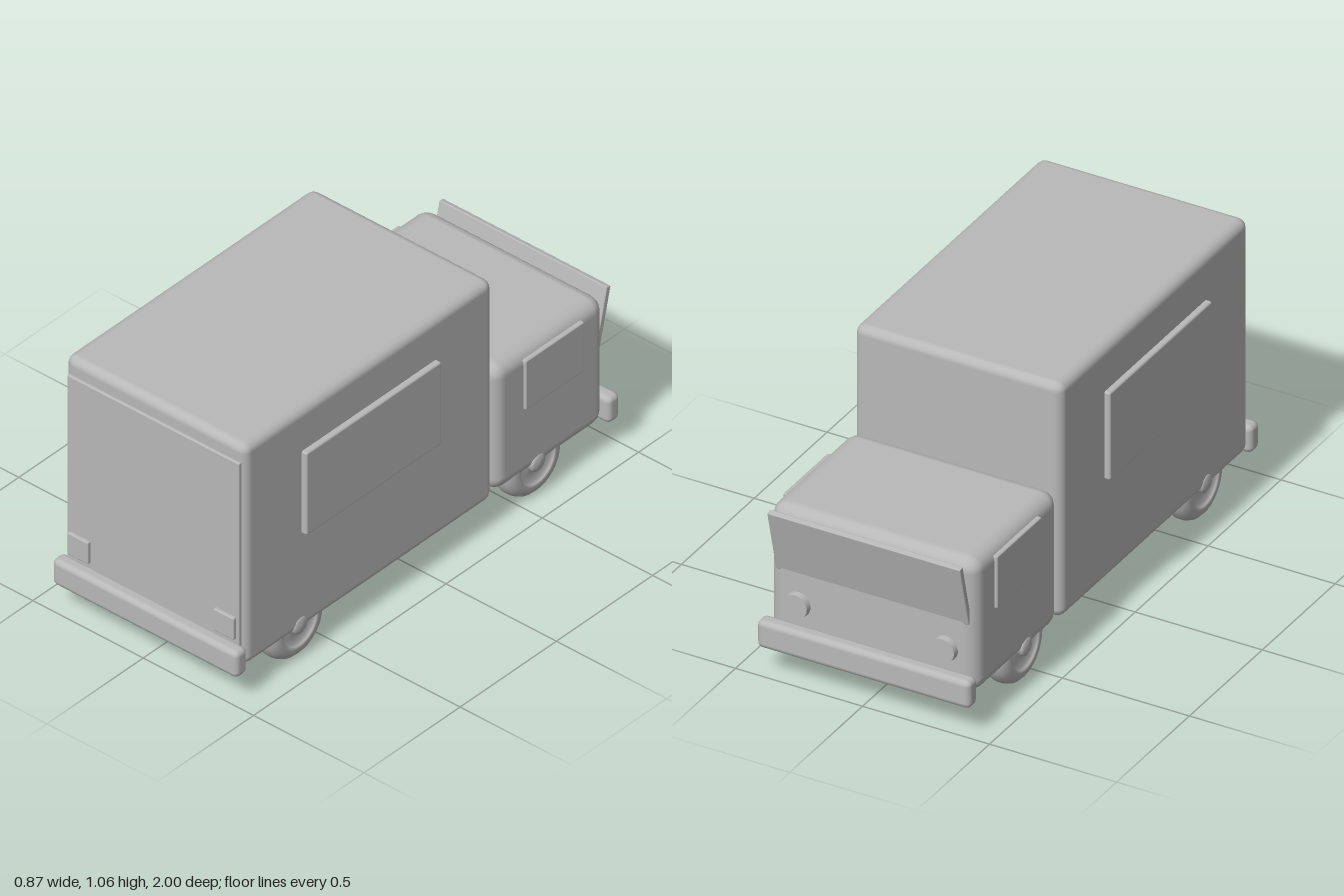
import * as THREE from 'three';
import { RoundedBoxGeometry } from 'three/addons/geometries/RoundedBoxGeometry.js';

const grey = new THREE.MeshStandardMaterial({ color: 0xb8b8b8 });
grey.name = 'plain grey';

export function createModel() {
  const model = new THREE.Group();
  model.name = 'boxTruck';

  const add = (name, geometry, x = 0, y = 0, z = 0) => {
    const mesh = new THREE.Mesh(geometry, grey);
    mesh.name = name;
    mesh.position.set(x, y, z);
    model.add(mesh);
    return mesh;
  };

  // Rounded box given by its limits on each axis
  const block = (name, [x0, x1], [y0, y1], [z0, z1], radius, segments = 2) =>
    add(name, new RoundedBoxGeometry(x1 - x0, y1 - y0, z1 - z0, segments, radius),
      (x0 + x1) / 2, (y0 + y1) / 2, (z0 + z1) / 2);

  // Cargo body, cab and the panel on the tall end
  block('cargoBody', [-0.41, 0.41], [0.125, 1.06], [-0.35, 0.94], 0.035);
  block('cab', [-0.41, 0.41], [0.125, 0.66], [-0.935, -0.36], 0.055);
  block('endDoor', [-0.39, 0.39], [0.15, 0.99], [0.9, 0.95], 0.005);

  // Bumpers at both ends
  block('cargoBumper', [-0.42, 0.42], [0.11, 0.22], [0.935, 0.997], 0.022);
  block('cabBumper', [-0.42, 0.42], [0.11, 0.22], [-1, -0.938], 0.022);

  // Windscreen plate, leaning outward at the top
  const windscreen = add('windscreen', new RoundedBoxGeometry(0.76, 0.26, 0.022, 2, 0.004), 0, 0.533, -0.953);
  windscreen.rotation.x = -0.24;

  // Wheel profile (radius, depth along the axle): tyre, recessed rim and hub cap
  const wheelProfile = [
    [0.0, 0], [0.1, 0], [0.122, 0.005], [0.138, 0.02], [0.145, 0.04],
    [0.145, 0.065], [0.138, 0.085], [0.122, 0.1], [0.1, 0.105], [0.088, 0.103],
    [0.086, 0.09], [0.038, 0.09], [0.036, 0.108], [0.025, 0.115], [0, 0.117],
  ].map(([r, d]) => new THREE.Vector2(r, d));
  const wheelGeometry = new THREE.LatheGeometry(wheelProfile, 32);

  for (const side of [-1, 1]) {
    const tag = side > 0 ? 'left' : 'right';
    const span = (a, b) => [Math.min(side * a, side * b), Math.max(side * a, side * b)];

    // Side windows
    block(tag + 'CargoWindow', span(0.38, 0.433), [0.535, 0.885], [-0.055, 0.647], 0.008);
    block(tag + 'CabWindow', span(0.38, 0.422), [0.418, 0.627], [-0.81, -0.505], 0.006);

    // Square lamps on the door, round lamps on the cab
    block(tag + 'SquareLamp', span(0.283, 0.377), [0.24, 0.332], [0.93, 0.963], 0.005);
    const lamp = add(tag + 'RoundLamp', new THREE.CylinderGeometry(0.046, 0.05, 0.04, 24), side * 0.29, 0.29, -0.938);
    lamp.rotation.x = -Math.PI / 2;

    // Wheels
    for (const [end, z] of [['Cargo', 0.65], ['Cab', -0.585]]) {
      const wheel = add(tag + end + 'Wheel', wheelGeometry, side * 0.3, 0.148, z);
      wheel.rotation.z = -side * Math.PI / 2;
    }
  }

  return model;
}
